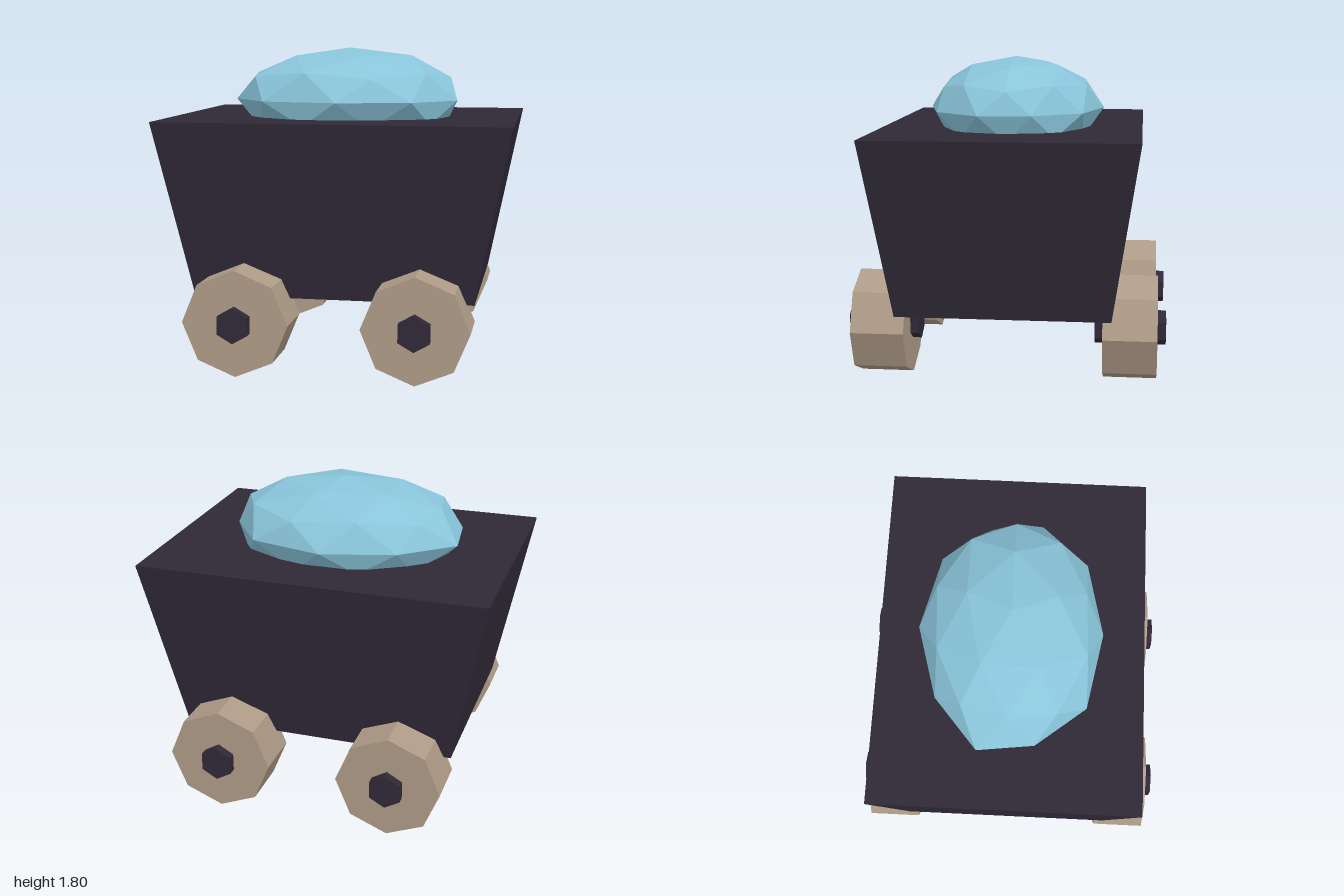
import * as THREE from 'three';

const flat = (color) => new THREE.MeshStandardMaterial({ color, flatShading: true });

function add(parent, name, geometry, material, x = 0, y = 0, z = 0) {
  const mesh = new THREE.Mesh(geometry, material);
  mesh.name = name;
  mesh.position.set(x, y, z);
  parent.add(mesh);
  return mesh;
}

// Box whose base is narrower than its top
function taperedBox(w, h, d, taper) {
  const geo = new THREE.BoxGeometry(w, h, d);
  const p = geo.attributes.position;
  for (let i = 0; i < p.count; i++) {
    if (p.getY(i) < 0) p.setXYZ(i, p.getX(i) * taper, p.getY(i), p.getZ(i) * taper);
  }
  geo.computeVertexNormals();
  return geo;
}

// Faceted crystal: an icosphere standing on a corner, squashed and slightly uneven
function crystalGeometry() {
  const geo = new THREE.IcosahedronGeometry(1, 1);
  geo.rotateX(-Math.atan((1 + Math.sqrt(5)) / 2));
  geo.rotateY(Math.PI / 2);
  // radius factors every 36 degrees around the girdle and the ring beside it
  const girdle = [0.98, 1.02, 1.02, 1.06, 0.99, 1.05, 1.0, 1.04, 1.03, 0.93];
  const ring = [0.96, 1.0, 0.96, 1.04, 1.02, 0.95, 0.97, 0.99, 1.0, 1.0];
  const p = geo.attributes.position;
  for (let i = 0; i < p.count; i++) {
    const x = p.getX(i), y = p.getY(i), z = p.getZ(i);
    const turn = Math.atan2(z, x) / (Math.PI / 5) + 10;
    let f = 1;
    if (Math.abs(y) < 0.1) f = girdle[Math.round(turn - 0.5) % 10];
    else if (Math.abs(y) < 0.7) f = ring[Math.round(turn) % 10];
    p.setXYZ(i, x * f * 0.7, y * f * 0.3, z * f * 0.5);
  }
  geo.computeVertexNormals();
  return geo;
}

export function createModel() {
  const model = new THREE.Group();
  model.name = 'mineCart';
  const dark = flat(0x2f2937);
  const wood = flat(0xae9b87);
  const blue = flat(0x89c4da);

  // Cart body and its load
  add(model, 'cartBody', taperedBox(2, 1, 1.5, 0.8), dark, 0, 0.9, 0);
  add(model, 'crystal', crystalGeometry(), blue, 0, 1.5, 0);

  // Four wheels with hexagonal hubs
  const wheelGeo = new THREE.CylinderGeometry(0.3, 0.3, 0.3, 8).rotateX(Math.PI / 2);
  const hubGeo = new THREE.CylinderGeometry(0.1, 0.1, 0.4, 6).rotateX(Math.PI / 2);
  for (const sx of [-1, 1]) {
    for (const sz of [-1, 1]) {
      const unit = new THREE.Group();
      unit.name = (sz > 0 ? 'front' : 'back') + (sx > 0 ? 'Left' : 'Right') + 'Wheel';
      unit.position.set(sx * 0.5, 0.3, sz * 0.7);
      add(unit, 'wheel', wheelGeo, wood);
      add(unit, 'hub', hubGeo, dark);
      model.add(unit);
    }
  }
  return model;
}
